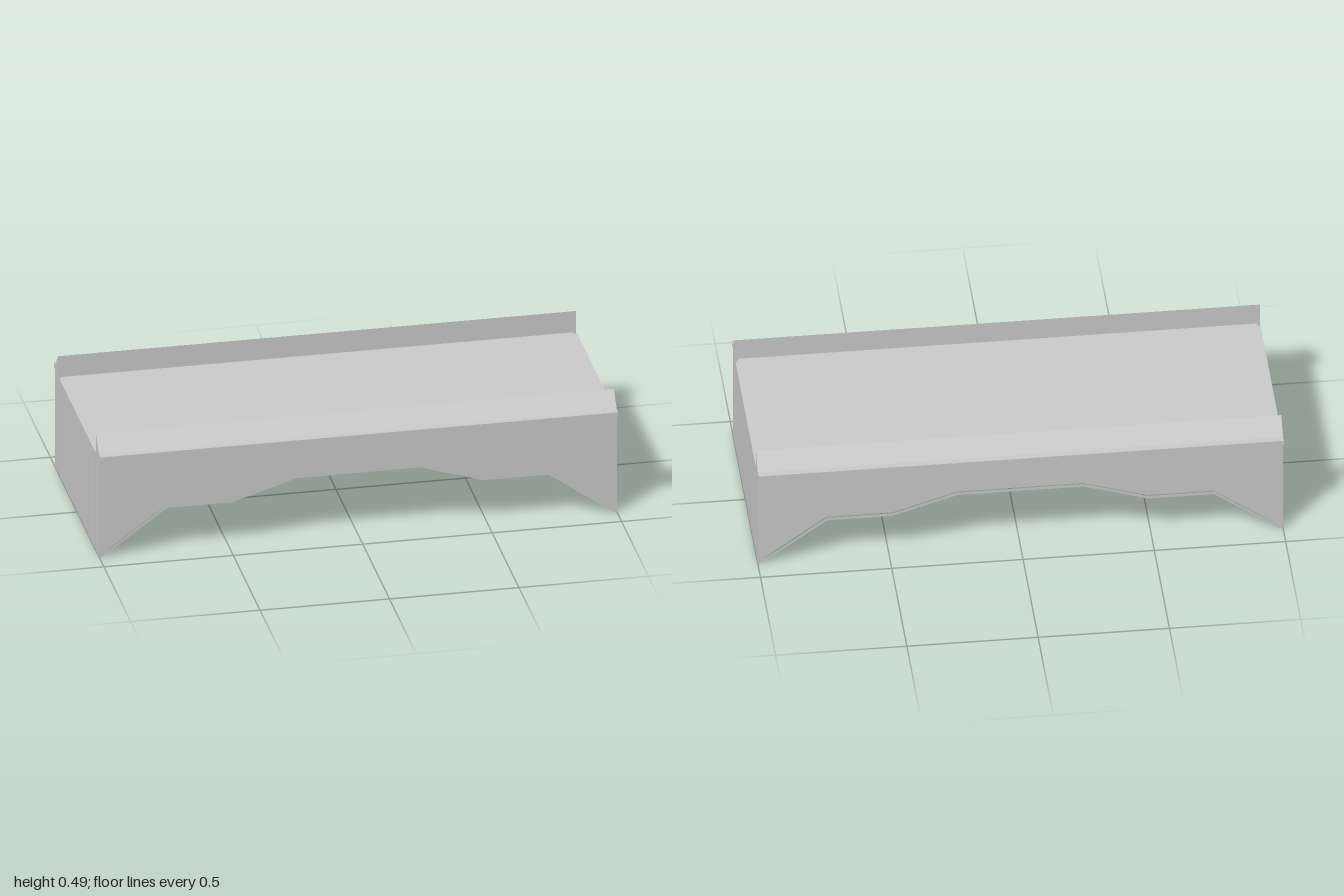
import * as THREE from 'three';

const material = new THREE.MeshStandardMaterial({ color: 0xcccccc, flatShading: true });

// Side outline of the span: flat top, stepped arch below, mirrored about x = 0
function outline(endX, lift, top) {
  const half = [[endX, top], [endX, lift], [Math.min(0.987, endX - 0.001), lift],
    [0.737, 0.18 + lift], [0.487, 0.18 + lift], [0.24, 0.257 + lift]];
  const left = half.map(([x, y]) => [-x, y]).reverse();
  return [...half, ...left].map(([x, y]) => new THREE.Vector2(x, y));
}

// Extrudes a shape from z0 to z1
function slab(name, shape, z0, z1) {
  const geometry = new THREE.ExtrudeGeometry(shape, { depth: z1 - z0, bevelEnabled: false });
  geometry.translate(0, 0, z0);
  const mesh = new THREE.Mesh(geometry, material);
  mesh.name = name;
  return mesh;
}

// One side wall: recessed joint, panel with raised frame, coping with ledge
function createSide(name) {
  const side = new THREE.Group();
  side.name = name;
  side.add(slab('joint', new THREE.Shape(outline(0.99, 0.01, 0.4)), 0.333, 0.356));
  side.add(slab('panel', new THREE.Shape(outline(1, 0, 0.405)), 0.355, 0.388));

  const frame = new THREE.Shape(outline(1, 0, 0.405));
  frame.holes.push(new THREE.Path(outline(0.983, 0.012, 0.398)));
  side.add(slab('frame', frame, 0.388, 0.411));

  // Cross-section in (z, y), run along x
  const section = [[0.355, 0.405], [0.437, 0.405], [0.437, 0.427], [0.411, 0.427], [0.355, 0.488]];
  const coping = slab('coping', new THREE.Shape(section.map(([z, y]) => new THREE.Vector2(z, y))), -1, 1);
  coping.geometry.rotateY(-Math.PI / 2);
  side.add(coping);
  return side;
}

export function createModel() {
  const model = new THREE.Group();
  model.name = 'bridge';
  model.add(slab('deck', new THREE.Shape(outline(1, 0, 0.405)), -0.333, 0.333));

  const front = createSide('frontSide');
  const back = createSide('backSide');
  back.rotation.y = Math.PI;
  model.add(front, back);
  return model;
}
